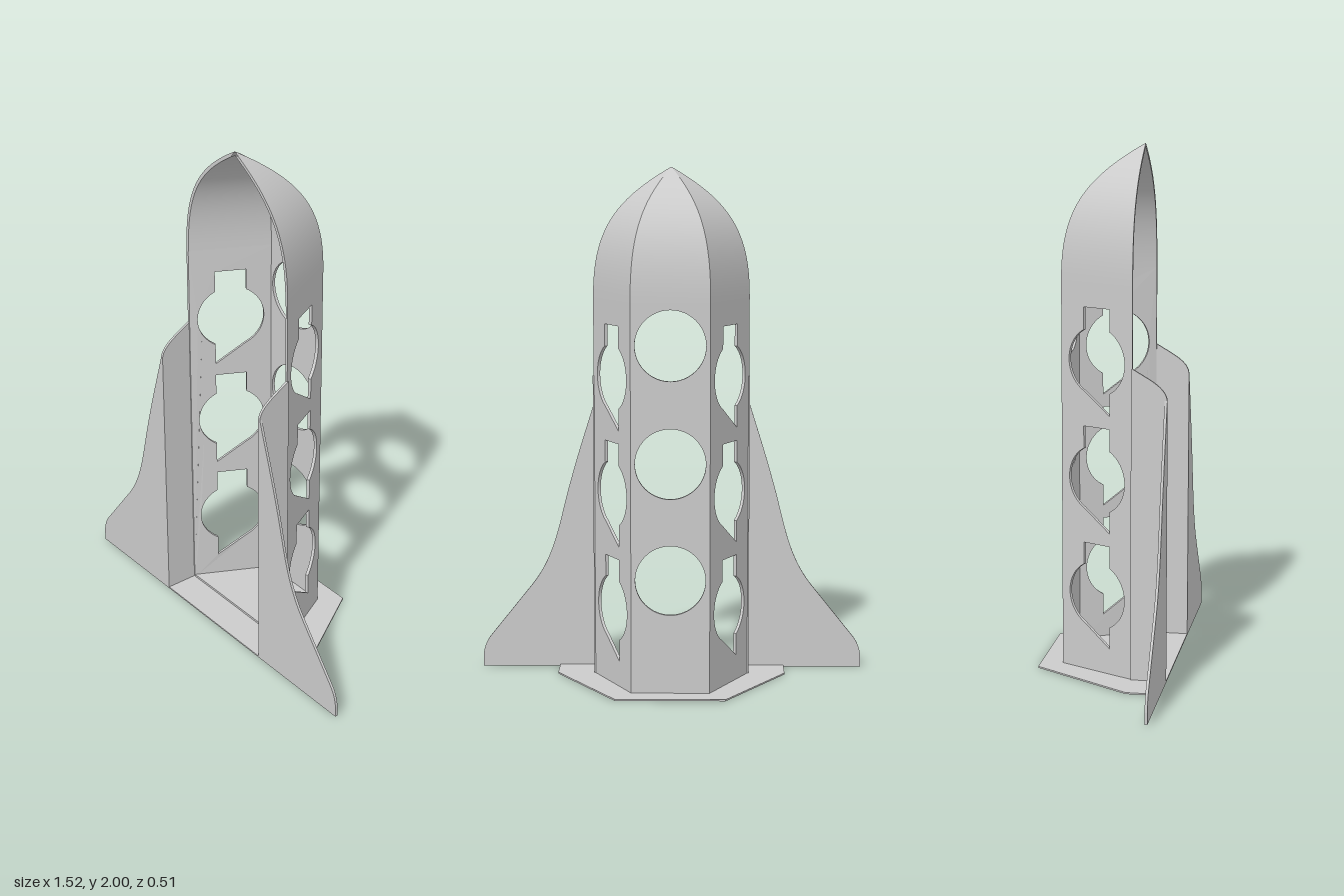
import * as THREE from 'three';

const T = 0.012;        // wall thickness
const FRONT = 0.125;    // z of the open front edge of the hull
const WALL_TOP = 1.5;   // where the walls start curving into the nose
const V = (x, y) => new THREE.Vector2(x, y);

// Half-hexagon hull outlines as [x, z], from the left front edge round the back
const OUTER = [[0.303, FRONT], [0.15, -0.17], [-0.15, -0.17], [-0.303, FRONT]];
const INNER = [[0.29, FRONT], [0.142, -0.158], [-0.142, -0.158], [-0.29, FRONT]];

export function createModel() {
  const group = new THREE.Group();
  const material = new THREE.MeshStandardMaterial({ color: 0xcccccc, side: THREE.DoubleSide });
  const add = (geometry, name) => {
    const mesh = new THREE.Mesh(geometry, material);
    mesh.name = name;
    group.add(mesh);
    return mesh;
  };
  const extrude = (shape, depth) =>
    new THREE.ExtrudeGeometry(shape, { depth, bevelEnabled: false, curveSegments: 24 });

  // Horizontal slab from an x/z outline, standing on y = 0
  const slab = (points, height, name) => {
    const geometry = extrude(new THREE.Shape(points.map(([x, z]) => V(x, z))), height);
    geometry.rotateX(Math.PI / 2).translate(0, height, 0);
    add(geometry, name);
  };
  slab([[-0.45, 0.255], [-0.45, 0.125], [-0.21, -0.255],
    [0.21, -0.255], [0.45, 0.125], [0.45, 0.255]], 0.006, 'basePlate');
  slab(INNER, 0.015, 'hullFloor');

  // Round window for the back wall
  const roundHole = (y) => new THREE.Path().absarc(0, y, 0.134, 0, Math.PI * 2, true);
  // Circle crossed by an upright slot for the slanted walls
  const slottedHole = (y) => {
    const r = 0.13, w = 0.061, h = 0.2;
    const a = Math.acos(w / r);
    const path = new THREE.Path();
    path.moveTo(w, y - h);
    path.absarc(0, y, r, -a, a, false);
    path.lineTo(w, y + h);
    path.lineTo(-w, y + h);
    path.absarc(0, y, r, Math.PI - a, Math.PI + a, false);
    path.lineTo(-w, y - h);
    path.closePath();
    return path;
  };

  // Flat hull walls, extruded inward from the outer outline
  for (let i = 0; i < 3; i++) {
    const [ax, az] = OUTER[i], [bx, bz] = OUTER[i + 1];
    const half = Math.hypot(bx - ax, bz - az) / 2;
    const shape = new THREE.Shape([V(-half, 0), V(half, 0), V(half, WALL_TOP), V(-half, WALL_TOP)]);
    for (let k = 0; k < 3; k++) {
      shape.holes.push(i === 1 ? roundHole(0.445 + 0.4475 * k) : slottedHole(0.305 + 0.45 * k));
    }
    const geometry = extrude(shape, T);
    geometry.rotateY(Math.atan2(bz - az, -(bx - ax)));
    geometry.translate((ax + bx) / 2, 0, (az + bz) / 2);
    // trim the front ends flush
    const p = geometry.attributes.position;
    for (let j = 0; j < p.count; j++) p.setZ(j, Math.min(p.getZ(j), FRONT));
    geometry.computeVertexNormals();
    add(geometry, ['leftWall', 'backWall', 'rightWall'][i]);
  }

  // Nose: the outline shrinks toward a point at the front edge
  const profile = new THREE.CubicBezierCurve(V(1, WALL_TOP), V(1, 1.75), V(0.75, 1.87), V(0, 2)).getPoints(32);
  const rib = ([x, z], stretch) => profile.map((p) => [
    x * p.x, WALL_TOP + (p.y - WALL_TOP) * stretch, FRONT + (z - FRONT) * p.x]);
  // Strip of quads between two ribs
  const strip = (a, b, name) => {
    const n = a.length, index = [];
    for (let i = 0; i < n - 1; i++) {
      index.push(i, n + i, i + 1);
      if (i < n - 2) index.push(n + i, n + i + 1, i + 1);
    }
    const geometry = new THREE.BufferGeometry();
    geometry.setAttribute('position', new THREE.Float32BufferAttribute([...a, ...b].flat(), 3));
    geometry.setIndex(index);
    geometry.computeVertexNormals();
    add(geometry, name);
  };
  const outerRibs = OUTER.map((p) => rib(p, 1));
  const innerRibs = INNER.map((p) => rib(p, 0.97));
  for (let i = 0; i < 3; i++) {
    strip(outerRibs[i], outerRibs[i + 1], 'noseOuter');
    strip(innerRibs[i + 1], innerRibs[i], 'noseInner');
  }
  strip(innerRibs[0], outerRibs[0], 'noseRimLeft');
  strip(outerRibs[3], innerRibs[3], 'noseRimRight');

  // Side cheeks running forward from the hull, and the flat fins at their front
  const cheek = new THREE.Shape();
  cheek.moveTo(0.12, 0);
  cheek.lineTo(0.255, 0);
  cheek.lineTo(0.255, 1.075);
  cheek.bezierCurveTo(0.255, 1.13, 0.18, 1.16, 0.125, 1.195);
  cheek.lineTo(0.12, 1.195);

  const fin = new THREE.Shape();
  fin.moveTo(0.296, 0);
  fin.lineTo(0.76, 0);
  fin.lineTo(0.76, 0.045);
  fin.quadraticCurveTo(0.755, 0.095, 0.725, 0.13);
  fin.lineTo(0.565, 0.33);
  fin.bezierCurveTo(0.46, 0.46, 0.45, 0.6, 0.4, 0.77);
  fin.bezierCurveTo(0.37, 0.88, 0.33, 1.0, 0.306, 1.08);
  fin.lineTo(0.296, 1.08);

  for (const side of [1, -1]) {
    const label = side > 0 ? 'left' : 'right';
    const cheekGeometry = extrude(cheek, 0.01);
    cheekGeometry.rotateY(-Math.PI / 2).translate(side > 0 ? 0.306 : -0.296, 0, 0);
    add(cheekGeometry, label + 'Cheek');
    const finMesh = add(extrude(fin, 0.01).translate(0, 0, 0.245), label + 'Fin');
    finMesh.scale.x = side;
  }
  return group;
}
